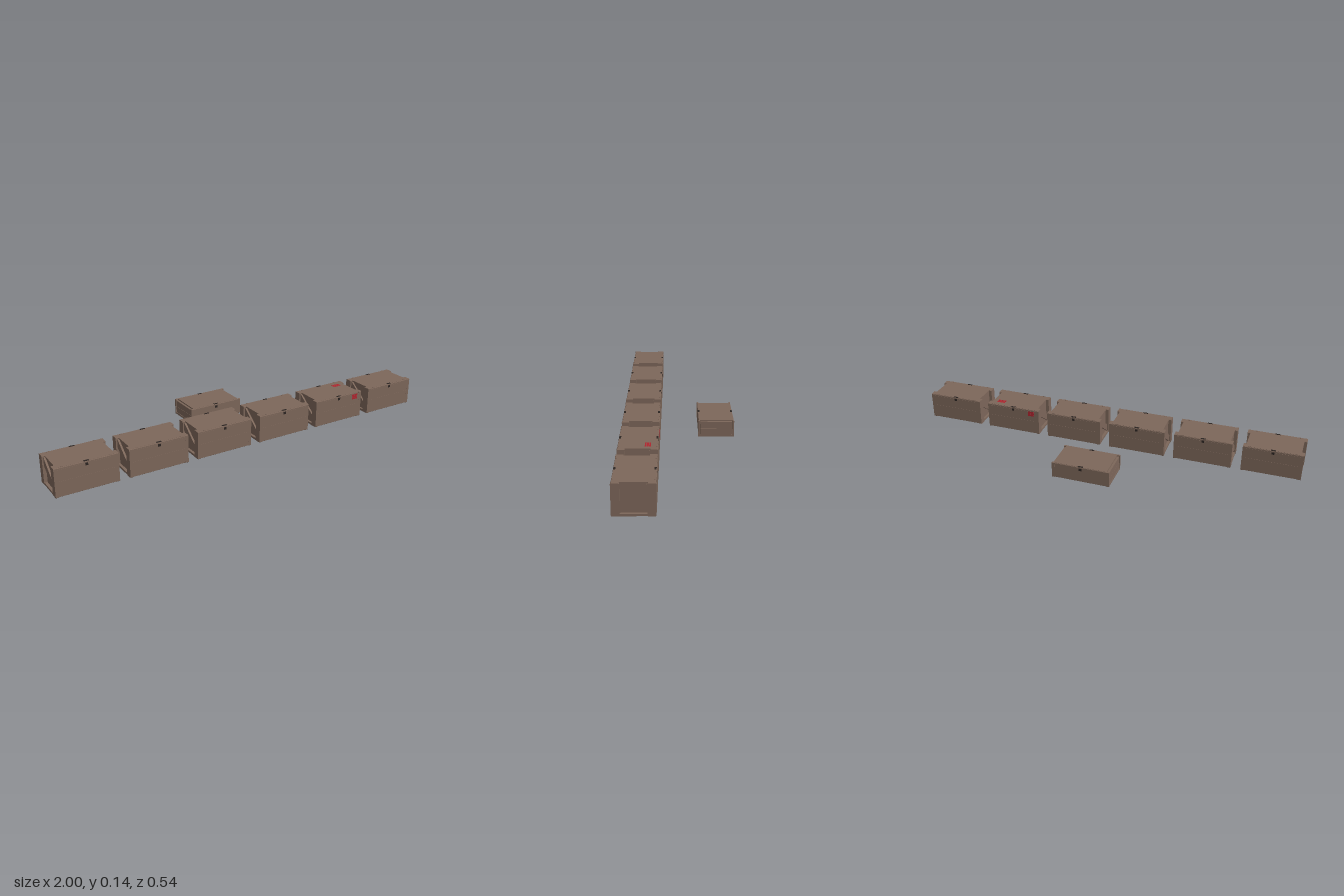
import * as THREE from 'three';

const mat = (name, color) => {
  const m = new THREE.MeshStandardMaterial({ color });
  m.name = name;
  return m;
};

export function createModel() {
  const wood = mat('brown wood', 0x7d675a);
  const dark = mat('dark iron', 0x2c2522);
  const red = mat('red paint', 0xb0242e);

  const L = 0.292, D = 0.175, RECESS = 0.016;

  const box = (parent, name, m, size, pos) => {
    const mesh = new THREE.Mesh(new THREE.BoxGeometry(...size), m);
    mesh.position.set(...pos);
    mesh.name = name;
    parent.add(mesh);
  };

  // Outline in (z, y), extruded along x and centred on the given x
  const slab = (parent, name, m, points, thickness, x) => {
    const shape = new THREE.Shape(points.map(([z, y]) => new THREE.Vector2(-z, y)));
    const geo = new THREE.ExtrudeGeometry(shape, { depth: thickness, bevelEnabled: false });
    geo.translate(0, 0, -thickness / 2);
    geo.rotateY(Math.PI / 2);
    const mesh = new THREE.Mesh(geo, m);
    mesh.position.x = x;
    mesh.name = name;
    parent.add(mesh);
  };

  // Rectangle in (z, y) with small chamfers
  const chamfered = (z0, z1, y0, y1, c = 0.002) => [
    [z0 + c, y0], [z1 - c, y0], [z1, y0 + c], [z1, y1 - c],
    [z1 - c, y1], [z0 + c, y1], [z0, y1 - c], [z0, y0 + c],
  ];

  // Core, lid, posts and latches shared by both crate types
  function crateBody(name, h, postDepth) {
    const g = new THREE.Group();
    g.name = name;
    const coreL = L - 2 * RECESS;
    slab(g, 'crateCore', wood, chamfered(-D / 2 + 0.001, D / 2 - 0.001, 0.001, h - 0.001), coreL, 0);
    box(g, 'lidBoard', wood, [coreL + 0.004, 0.007, D - 0.006], [0, h - 0.0035, 0]);

    for (const sx of [-1, 1]) {
      const endX = sx * (L / 2 - RECESS / 2);
      // Corner posts flank the recessed end panel
      for (const sz of [-1, 1]) {
        const a = sz * D / 2, b = sz * (D / 2 - postDepth);
        slab(g, 'cornerPost', wood, chamfered(Math.min(a, b), Math.max(a, b), 0, h), RECESS, endX);
      }
      box(g, 'endRail', wood, [RECESS - 0.003, 0.01, D - 2 * postDepth], [endX, 0.005, 0]);
    }

    for (const sz of [-1, 1]) {
      // Latch plate and hasp at the middle of each long edge
      box(g, 'latchPlate', dark, [0.013, 0.012, 0.0025], [0, h - 0.014, sz * (D / 2 - 0.001)]);
      box(g, 'latchHasp', dark, [0.025, 0.0015, 0.009], [0, h, sz * (D / 2 - 0.006)]);
    }
    return g;
  }

  function tallCrate() {
    const h = 0.137;
    const g = crateBody('tallCrate', h, 0.034);
    const w = D / 2 - 0.034;
    for (const s of [-1, 1]) {
      // Diagonal brace across the end
      slab(g, 'diagonalBrace', wood,
        [[-w, 0.09], [-w, 0.13], [-w + 0.004, 0.13], [w, 0.047], [w, 0.01]],
        0.009, s * (L / 2 - RECESS + 0.0045));
      // Upper and lower facing boards of the long side, meeting at mid height
      for (const [y0, y1] of [[0.003, 0.0735], [0.0745, 0.128]])
        box(g, 'sideBoard', wood, [L - 2 * RECESS, y1 - y0, 0.001], [0, (y0 + y1) / 2, s * (D / 2 - 0.0006)]);
      // Wooden pegs near the ends of the lid
      for (const sx of [-1, 1])
        box(g, 'lidPeg', wood, [0.012, 0.0025, 0.005], [sx * 0.107, h, s * (D / 2 - 0.006)]);
    }
    return g;
  }

  function flatCrate() {
    const h = 0.082;
    const g = crateBody('flatCrate', h, 0.009);
    // Two horizontal planks on each end
    for (const sx of [-1, 1])
      for (const [y0, y1] of [[0.011, 0.0425], [0.0435, 0.075]])
        box(g, 'endPlank', wood, [0.013, y1 - y0, D - 0.02],
          [sx * (L / 2 - RECESS + 0.0065), (y0 + y1) / 2, 0]);
    return g;
  }

  const model = new THREE.Group();
  model.name = 'crates';

  // Row of six tall crates
  for (let i = 0; i < 6; i++) {
    const crate = tallCrate();
    crate.position.set((i - 2.5) * 0.3416, 0, 0.18);
    model.add(crate);
    if (i === 4) {
      // Painted red marks, each made of three short bars
      for (const k of [-1, 0, 1]) {
        box(crate, 'frontMark', red, [0.034, 0.008, 0.0008], [0.103, 0.115 + k * 0.009, D / 2]);
        box(crate, 'backMark', red, [0.034, 0.008, 0.0008], [-0.103, 0.115 + k * 0.009, -D / 2]);
        box(crate, 'topMark', red, [0.046, 0.0006, 0.0075], [0.085, 0.137, -0.043 + k * 0.0095]);
      }
    }
  }

  // Single flat crate behind the row
  const flat = flatCrate();
  flat.position.set(0, 0, -0.18);
  model.add(flat);

  return model;
}
